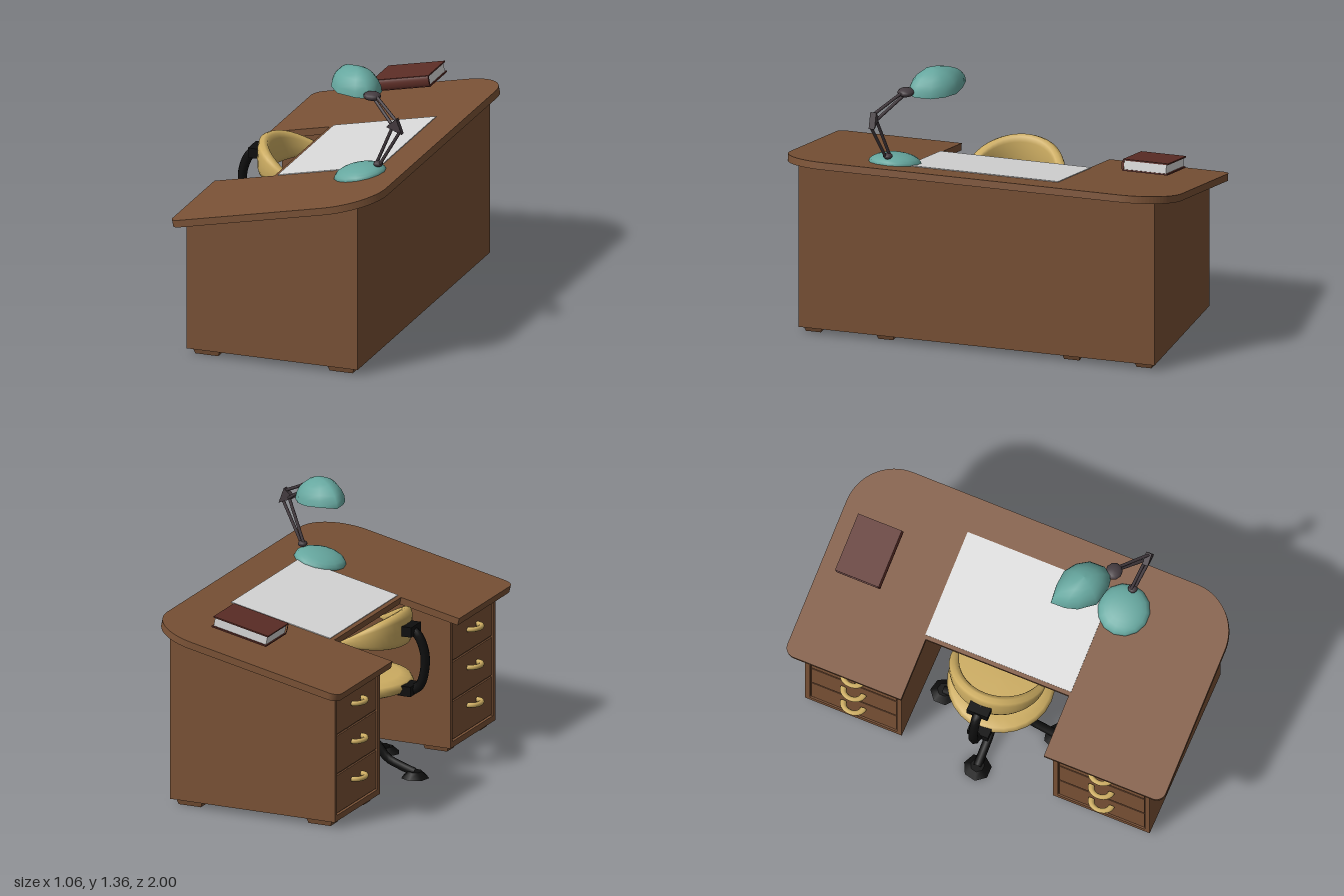
import * as THREE from 'three';

const mat = (name, color, side = THREE.FrontSide) => {
  const m = new THREE.MeshStandardMaterial({ color, side });
  m.name = name;
  return m;
};

export function createModel() {
  const wood = mat('walnut wood', 0x7a5236);
  const paper = mat('paper white', 0xd9d9d9, THREE.DoubleSide);
  const teal = mat('teal enamel', 0x66a79f, THREE.DoubleSide);
  const yellow = mat('mustard upholstery', 0xcdad62, THREE.DoubleSide);
  const black = mat('black plastic', 0x0e0e0e);
  const metal = mat('dark metal', 0x453c41);
  const leather = mat('book cover', 0x5c2d26);

  const model = new THREE.Group();
  const group = (name, parent = model) => {
    const g = new THREE.Group();
    g.name = name;
    parent.add(g);
    return g;
  };
  const add = (parent, name, geo, material, x = 0, y = 0, z = 0) => {
    const m = new THREE.Mesh(geo, material);
    m.name = name;
    m.position.set(x, y, z);
    parent.add(m);
    return m;
  };
  const box = (w, h, d) => new THREE.BoxGeometry(w, h, d);
  const v3 = (x, y, z) => new THREE.Vector3(x, y, z);
  const polygon = pts => new THREE.Shape(pts.map(p => new THREE.Vector2(...p)));
  const extrude = (shape, depth) =>
    new THREE.ExtrudeGeometry(shape, { depth, bevelEnabled: false, curveSegments: 10 });
  const rod = (parent, name, a, b, r, material) => {
    const m = add(parent, name, new THREE.CylinderGeometry(r, r, a.distanceTo(b), 8), material);
    m.position.copy(a).lerp(b, 0.5);
    m.quaternion.setFromUnitVectors(v3(0, 1, 0), b.clone().sub(a).normalize());
  };
  // Skin a list of closed rings with equal point counts
  const loft = rings => {
    const n = rings[0].length, index = [];
    for (let i = 0; i < rings.length - 1; i++) for (let j = 0; j < n; j++) {
      const a = i * n + j, b = i * n + (j + 1) % n;
      index.push(a, b, a + n, b, b + n, a + n);
    }
    const g = new THREE.BufferGeometry().setFromPoints(rings.flat());
    g.setIndex(index);
    g.computeVertexNormals();
    return g;
  };

  // Sloping worktop: U-shaped outline, origin on its upper face
  const slope = 0.208, thick = 0.036;
  const top = group('worktop');
  top.position.set(0.005, 0.82, 0);
  top.rotation.z = slope;
  const L = 0.53, R = 0.25, r = 0.05, s = new THREE.Shape();
  s.moveTo(-L + r, -1);
  s.lineTo(L - R, -1);
  s.absarc(L - R, -1 + R, R, -Math.PI / 2, 0);
  s.lineTo(L, 1 - R);
  s.absarc(L - R, 1 - R, R, 0, Math.PI / 2);
  s.lineTo(-L + r, 1);
  s.absarc(-L + r, 1 - r, r, Math.PI / 2, Math.PI);
  s.lineTo(-L, 0.38);
  s.lineTo(-0.21, 0.38);
  s.lineTo(-0.21, -0.375);
  s.lineTo(-L, -0.375);
  s.absarc(-L + r, -1 + r, r, Math.PI, Math.PI * 1.5);
  add(top, 'deskTop', extrude(s, thick).rotateX(-Math.PI / 2), wood, 0, -thick, 0);
  add(top, 'paperSheet', box(0.545, 0.004, 0.77), paper, 0.083, 0.003, -0.005);

  // Book with rounded spine on the +z side
  const book = group('book', top);
  book.position.set(0.078, 0.101, -0.79);
  for (const y of [-0.0255, 0.0255]) add(book, 'bookCover', box(0.3, 0.007, 0.23), leather, 0, y, 0);
  add(book, 'bookPages', box(0.288, 0.044, 0.215), paper, 0, 0, 0.002);
  const spine = new THREE.CylinderGeometry(0.029, 0.029, 0.3, 12, 1, false, 0, Math.PI)
    .rotateZ(Math.PI / 2).rotateX(-Math.PI / 2).scale(1, 1, 0.45);
  spine.computeBoundingBox();
  if (spine.boundingBox.max.z < 0.005) spine.rotateX(Math.PI);
  add(book, 'bookSpine', spine, leather, 0, 0, 0.109);

  // Desk body: pedestals, knee panel, drawers and feet
  const under = x => 0.82 - thick / Math.cos(slope) + (x - 0.005) * Math.tan(slope);
  const slab = (x0, x1, depth) =>
    extrude(polygon([[x0, 0.03], [x1, 0.03], [x1, under(x1)], [x0, under(x0)]]), depth);
  const desk = group('deskBody');
  add(desk, 'kneePanel', slab(0.28, 0.435, 0.8), wood, 0, 0, -0.4);
  for (const side of [-1, 1]) {
    const ped = group(side > 0 ? 'leftPedestal' : 'rightPedestal', desk);
    const zc = side * 0.655;
    add(ped, 'pedestalCase', slab(-0.44, 0.435, 0.51), wood, 0, 0, zc - 0.255);
    const frame = polygon([[-0.255, 0.03], [0.255, 0.03], [0.255, 0.684], [-0.255, 0.684]]);
    frame.holes.push(polygon([[-0.23, 0.06], [-0.23, 0.67], [0.23, 0.67], [0.23, 0.06]]));
    add(ped, 'drawerFrame', extrude(frame, 0.015).rotateY(-Math.PI / 2), wood, -0.44, 0, zc);
    [0.195, 0.388, 0.582].forEach((y, i) => {
      add(ped, 'drawerFront', box(0.012, 0.192, 0.45), wood, -0.443, 0.163 + i * 0.202, zc);
      const handle = new THREE.TorusGeometry(0.042, 0.013, 8, 14, Math.PI)
        .rotateX(-Math.PI / 2).rotateY(Math.PI / 2).scale(1, 1, 1.25);
      add(ped, 'drawerHandle', handle, yellow, -0.453, y, zc);
    });
    for (const x of [-0.36, 0.34]) for (const z of [0.475, 0.845]) {
      const foot = new THREE.CylinderGeometry(0.5, 0.42, 0.03, 4, 1).rotateY(Math.PI / 4)
        .scale(0.2, 1, 0.13).toNonIndexed();
      foot.computeVertexNormals();
      add(ped, 'deskFoot', foot, wood, x, 0.015, side * z);
    }
  }

  // Swivel chair
  const chair = group('chair');
  chair.position.x = -0.155;
  add(chair, 'chairColumn', new THREE.CylinderGeometry(0.068, 0.068, 0.26, 16), black, 0, 0.3, 0);
  for (let i = 0; i < 4; i++) {
    const leg = group('chairLeg', chair);
    leg.rotation.y = i * Math.PI / 2;
    const path = new THREE.CatmullRomCurve3(
      [v3(0.01, 0.2, 0), v3(0.08, 0.16, 0), v3(0.15, 0.08, 0), v3(0.22, 0.05, 0), v3(0.3, 0.025, 0)]);
    add(leg, 'legArm', new THREE.TubeGeometry(path, 12, 0.022, 8), black);
    add(leg, 'legPad', new THREE.CylinderGeometry(0.035, 0.07, 0.032, 7), black, 0.3, 0.016, 0);
  }
  const seat = [[0, 0.41], [0.2, 0.415], [0.25, 0.435], [0.265, 0.46], [0.25, 0.485], [0.2, 0.497], [0, 0.5]];
  add(chair, 'chairSeat', new THREE.LatheGeometry(seat.map(p => new THREE.Vector2(...p)), 28), yellow);

  // Wrap-around backrest, tapering towards both ends
  const rings = [];
  for (let i = 0; i <= 24; i++) {
    const t = i / 12 - 1, a = t * 1.6, drop = 1 - Math.cos(a);
    const f = Math.max(0.02, Math.sqrt(1 - t ** 4));
    const hi = 0.845 - 0.115 * drop, lo = 0.665 + 0.03 * drop;
    rings.push(Array.from({ length: 12 }, (_, j) => {
      const q = j / 12 * Math.PI * 2, c = Math.cos(q), sn = Math.sin(q);
      const rad = 0.23 + 0.03 * f * Math.sign(c) * Math.sqrt(Math.abs(c));
      const y = (hi + lo) / 2 + (hi - lo) / 2 * f * Math.sign(sn) * Math.abs(sn) ** 0.7;
      return v3(-Math.cos(a) * rad, y, Math.sin(a) * rad);
    }));
  }
  add(chair, 'chairBackrest', loft(rings), yellow);
  const bow = new THREE.CatmullRomCurve3([v3(-0.25, 0.76, 0), v3(-0.31, 0.735, 0), v3(-0.35, 0.65, 0),
    v3(-0.352, 0.56, 0), v3(-0.325, 0.475, 0), v3(-0.27, 0.44, 0), v3(-0.2, 0.44, 0)]);
  add(chair, 'backBracket', new THREE.TubeGeometry(bow, 24, 0.024, 8), black);
  add(chair, 'upperMount', box(0.06, 0.05, 0.11), black, -0.275, 0.755, 0);
  add(chair, 'lowerMount', box(0.07, 0.05, 0.11), black, -0.265, 0.45, 0);

  // Desk lamp: domed base, jointed arms and shade
  const base = new THREE.SphereGeometry(0.13, 14, 6, 0, Math.PI * 2, 0, Math.PI / 2).scale(1, 0.4, 1);
  add(top, 'lampBase', base, teal, 0.281, 0, 0.465);
  const lamp = group('lamp');
  const ball = new THREE.SphereGeometry(1, 10, 8);
  add(lamp, 'baseJoint', ball, metal, 0.377, 0.945, 0.472).scale.set(0.024, 0.016, 0.024);
  rod(lamp, 'lowerArm', v3(0.366, 0.945, 0.465), v3(0.465, 1.16, 0.503), 0.008, metal);
  rod(lamp, 'lowerArm', v3(0.388, 0.945, 0.48), v3(0.507, 1.14, 0.52), 0.008, metal);
  rod(lamp, 'upperArm', v3(0.325, 1.255, 0.4), v3(0.47, 1.155, 0.505), 0.008, metal);
  rod(lamp, 'upperArm', v3(0.33, 1.275, 0.4), v3(0.49, 1.19, 0.515), 0.008, metal);
  add(lamp, 'elbowJoint', extrude(polygon([[0.438, 1.16], [0.518, 1.128], [0.49, 1.206]]), 0.03),
    metal, 0, 0, 0.495);
  add(lamp, 'shadeJoint', ball, metal, 0.317, 1.263, 0.398).scale.set(0.045, 0.022, 0.042);

  // Shade: rounded outline drawn to one corner, domed to an apex
  const rim = [[0.05, 0.175], [0.14, 0.165], [0.22, 0.17], [0.28, 0.21], [0.32, 0.27], [0.322, 0.35],
    [0.29, 0.395], [0.23, 0.405], [0.13, 0.385], [0.07, 0.31], [0.052, 0.25]];
  const cx = 0.2, cz = 0.29;
  const shade = [];
  for (let k = 0; k <= 6; k++) {
    const a = k / 6 * Math.PI / 2, c = Math.max(Math.cos(a), 0.001);
    shade.push(rim.map(([x, z]) => v3(cx + (x - cx) * c,
      1.25 - 0.04 * (x - 0.1) * c + 0.112 * Math.sin(a), cz + (z - cz) * c)));
  }
  add(lamp, 'lampShade', loft(shade), teal);
  const inner = new THREE.ShapeGeometry(polygon(rim.map(([x, z]) =>
    [(x - cx) * 0.93, (z - cz) * 0.93]))).rotateX(Math.PI / 2);
  add(lamp, 'shadeLining', inner, paper, cx, 1.253, cz).rotation.z = -0.04;

  return model;
}
